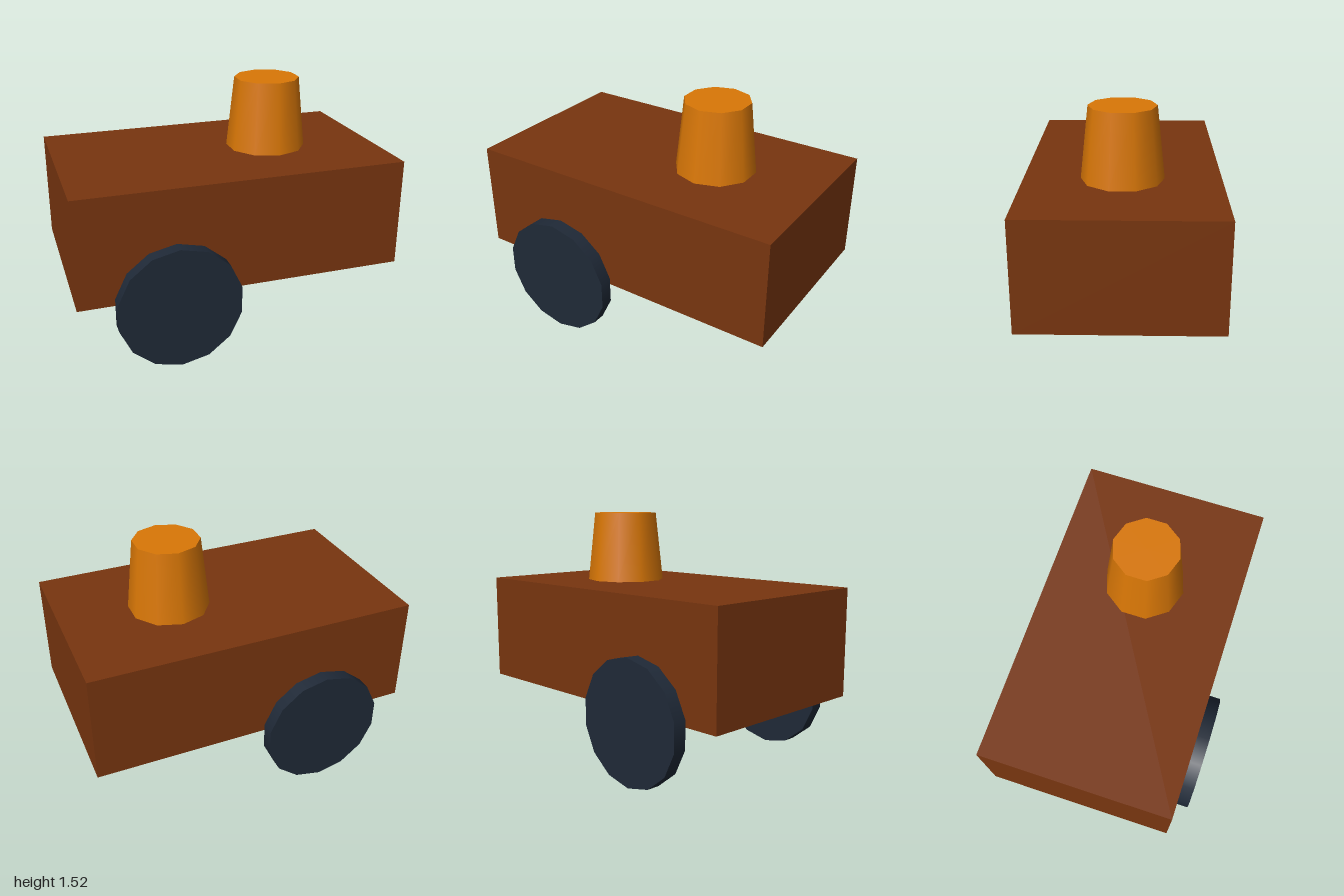
import * as THREE from 'three';

export function createModel() {
  const model = new THREE.Group();
  model.name = 'cart';

  const add = (name, geometry, color, x, y, z) => {
    const mesh = new THREE.Mesh(geometry, new THREE.MeshStandardMaterial({ color }));
    mesh.name = name;
    mesh.position.set(x, y, z);
    model.add(mesh);
    return mesh;
  };

  // Box body
  add('body', new THREE.BoxGeometry(2, 0.667, 1.167), 0x78350f, 0, 0.75, 0);

  // Tapered ten-sided chimney standing on the body
  add('chimney', new THREE.CylinderGeometry(0.2, 0.247, 0.437, 10), 0xd97706, 0.333, 1.302, 0);

  // One fourteen-sided wheel against each long side
  for (const side of [1, -1]) {
    const wheel = add(side > 0 ? 'frontWheel' : 'backWheel',
      new THREE.CylinderGeometry(0.375, 0.375, 0.083, 14), 0x1f2937, -0.417, 0.375, side * 0.625);
    wheel.rotation.x = Math.PI / 2;
  }

  return model;
}
